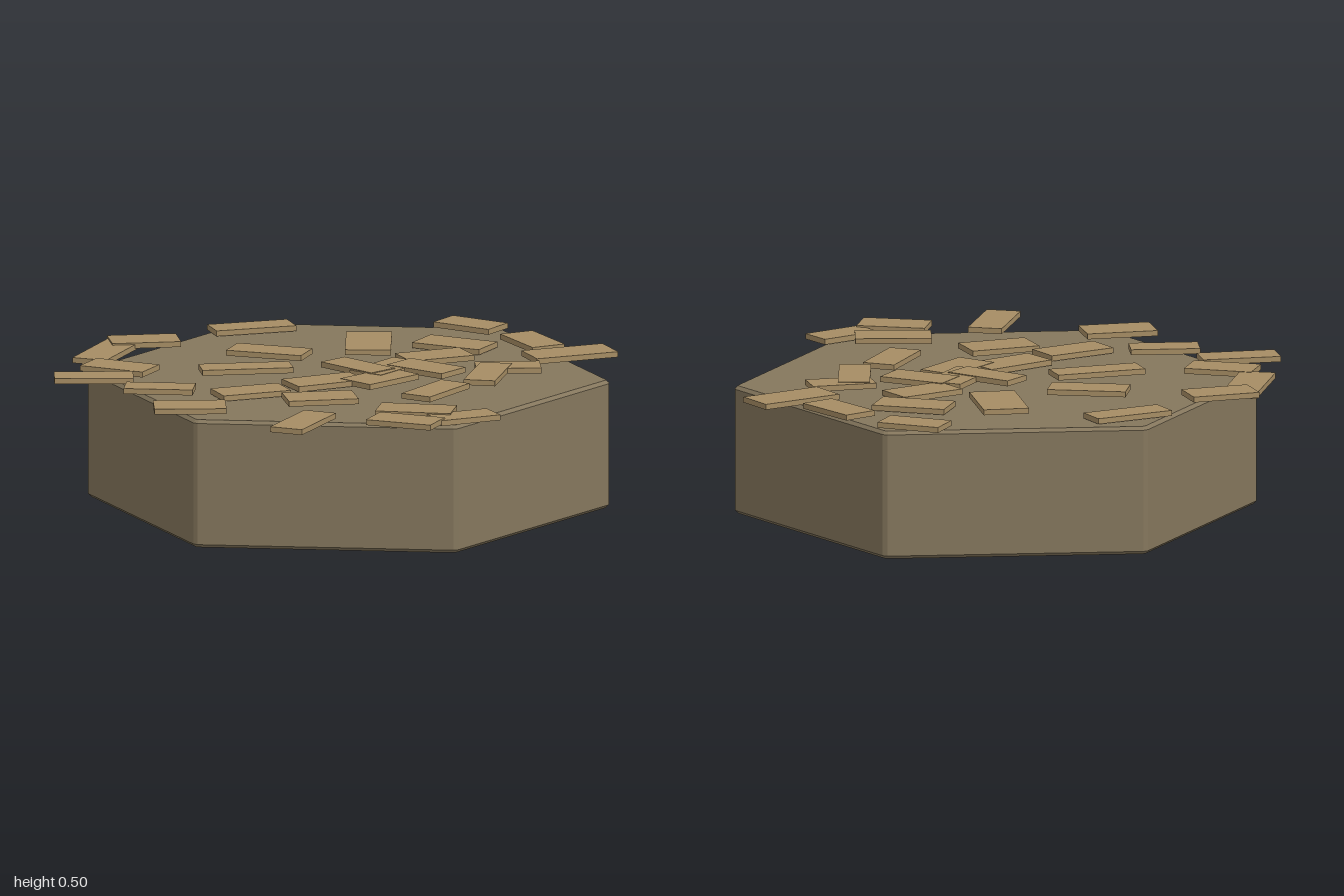
import * as THREE from 'three';

// Scattered tiles: x, z, length, width, turn in degrees
const TILES = [
  [-0.37, -0.76, 0.30, 0.115, 23],
  [0.075, -0.535, 0.305, 0.165, -85],
  [0.41, -0.87, 0.235, 0.13, -27],
  [0.66, -0.61, 0.255, 0.13, -57],
  [0.815, -0.415, 0.315, 0.15, 28],
  [0.385, -0.55, 0.27, 0.15, -21],
  [0.335, -0.335, 0.25, 0.145, 29],
  [-0.265, -0.35, 0.285, 0.13, -13],
  [-0.32, -0.06, 0.33, 0.11, 14],
  [-0.73, -0.47, 0.25, 0.14, 14],
  [-0.845, -0.31, 0.36, 0.13, 74],
  [-0.775, -0.04, 0.25, 0.14, -20],
  [-0.85, 0.14, 0.285, 0.12, 7],
  [-0.595, 0.305, 0.25, 0.115, 0],
  [-0.455, 0.61, 0.26, 0.15, 8],
  [-0.265, 0.31, 0.26, 0.135, 27],
  [-0.005, 0.395, 0.255, 0.15, 16],
  [-0.025, 0.81, 0.305, 0.125, 72],
  [0.36, 0.58, 0.275, 0.145, -4],
  [0.34, 0.765, 0.25, 0.14, -16],
  [0.54, 0.65, 0.235, 0.12, 31],
  [0.395, 0.23, 0.27, 0.12, 64],
  [0.615, -0.18, 0.235, 0.12, 9],
  [0.555, -0.055, 0.30, 0.115, 84],
  [0.08, -0.11, 0.26, 0.12, -40],
  [-0.02, 0.115, 0.27, 0.145, 32],
  [0.175, 0.05, 0.25, 0.15, 51],
  [0.185, -0.115, 0.27, 0.14, 60],
  [0.325, -0.125, 0.25, 0.14, -32],
];

// Hexagon outline with slightly clipped corners
function hexagon(radius, clip) {
  const corner = (i) => new THREE.Vector2(Math.cos(i * Math.PI / 3), Math.sin(i * Math.PI / 3)).multiplyScalar(radius);
  const points = [];
  for (let i = 0; i < 6; i++) {
    const c = corner(i);
    points.push(c.clone().lerp(corner(i - 1), clip), c.clone().lerp(corner(i + 1), clip));
  }
  return new THREE.Shape(points);
}

export function createModel() {
  const group = new THREE.Group();
  group.name = 'tiledHexBlock';

  const stone = new THREE.MeshStandardMaterial({ color: 0x85775d });
  stone.name = 'stone';
  const wood = new THREE.MeshStandardMaterial({ color: 0xa68d64 });
  wood.name = 'lightWood';

  // Hexagonal block with small bevels
  const bevel = 0.012;
  const height = 0.47;
  const blockGeometry = new THREE.ExtrudeGeometry(hexagon(0.947, 0.012), {
    depth: height - 2 * bevel,
    bevelEnabled: true,
    bevelThickness: bevel,
    bevelSize: bevel,
    bevelOffset: -bevel,
    bevelSegments: 1,
  });
  blockGeometry.rotateX(-Math.PI / 2);
  const block = new THREE.Mesh(blockGeometry, stone);
  block.name = 'block';
  block.position.set(0.048, bevel, -0.09);
  group.add(block);

  // Loose tiles lying on top, at slightly different heights
  const tiles = new THREE.Group();
  tiles.name = 'tiles';
  TILES.forEach(([x, z, length, width, degrees], i) => {
    const tile = new THREE.Mesh(new THREE.BoxGeometry(length, 0.02, width), wood);
    tile.name = `tile${i + 1}`;
    tile.position.set(x, 0.485 + (i % 5) * 0.0015, z);
    tile.rotation.y = THREE.MathUtils.degToRad(degrees);
    tiles.add(tile);
  });
  group.add(tiles);

  return group;
}
